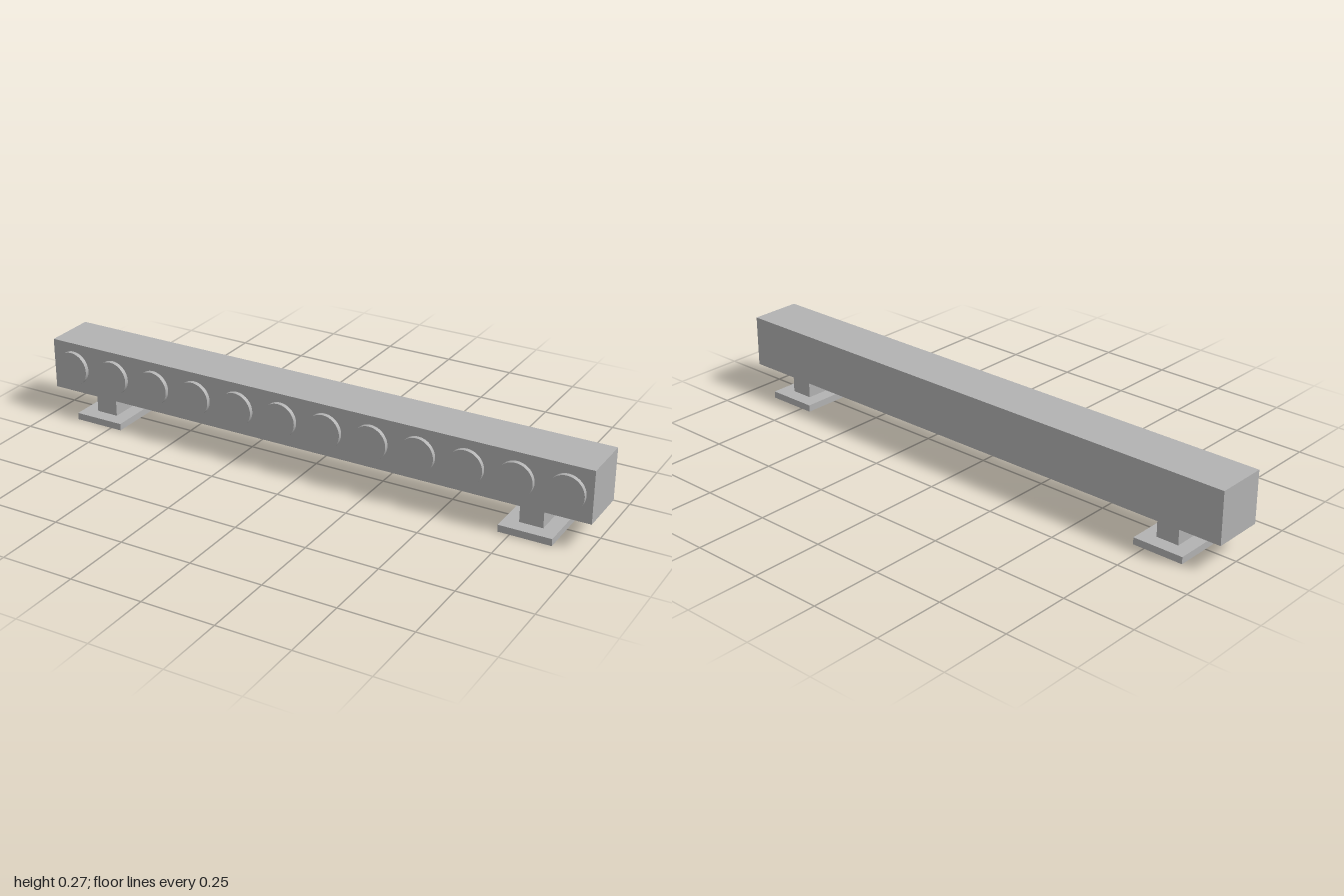
import * as THREE from 'three';

export function createModel() {
  const model = new THREE.Group();
  model.name = 'lightBar';
  const grey = new THREE.MeshStandardMaterial({ color: 0xb2b2b2 });
  grey.name = 'grey';

  const add = (parent, name, geometry, x, y, z) => {
    const mesh = new THREE.Mesh(geometry, grey);
    mesh.name = name;
    mesh.position.set(x, y, z);
    parent.add(mesh);
  };

  // Long square housing
  add(model, 'housing', new THREE.BoxGeometry(2, 0.18, 0.18), 0, 0.18, 0);

  // Row of round lenses along the front
  const lens = new THREE.CylinderGeometry(0.06, 0.06, 0.015, 48).rotateX(Math.PI / 2);
  const count = 12, first = -0.917;
  for (let i = 0; i < count; i++) {
    add(model, `lens${i + 1}`, lens, first - (2 * first * i) / (count - 1), 0.18, 0.0975);
  }

  // Two mounting feet: a post on a flat plate
  const post = new THREE.BoxGeometry(0.08, 0.066, 0.142);
  const plate = new THREE.BoxGeometry(0.18, 0.024, 0.24);
  for (const side of [-1, 1]) {
    const foot = new THREE.Group();
    foot.name = side > 0 ? 'leftFoot' : 'rightFoot';
    foot.position.x = side * 0.8;
    add(foot, 'post', post, 0, 0.057, 0);
    add(foot, 'basePlate', plate, 0, 0.012, 0);
    model.add(foot);
  }
  return model;
}
